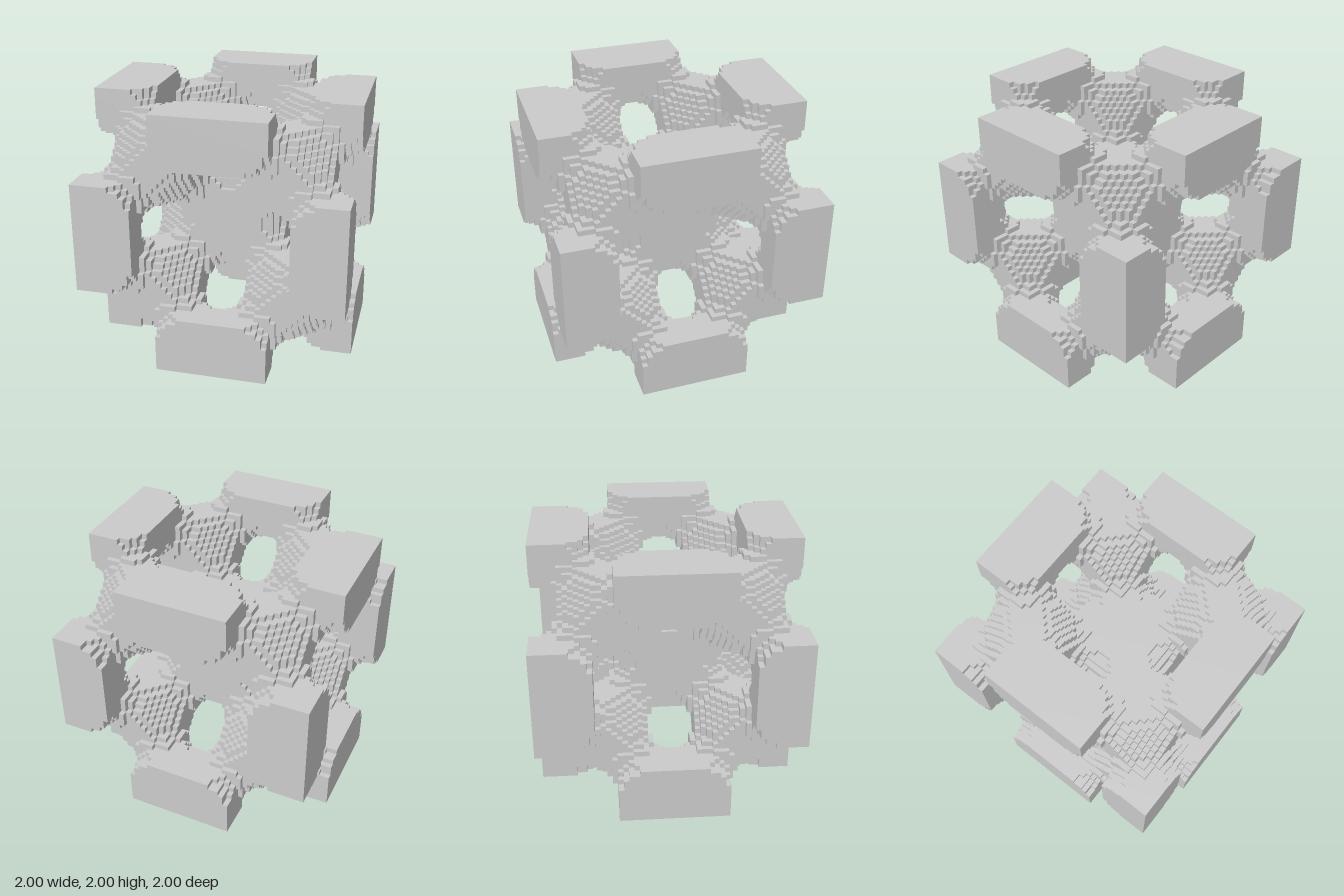
import * as THREE from 'three';

const N = 50;          // voxels per side
const SIZE = 2 / N;    // voxel edge length

// Triply periodic F-RD minimal surface, one period across the cube; solid where negative
const wave = (k) => Array.from({ length: N }, (_, i) => Math.cos((k * 2 * Math.PI * i) / N));
const c1 = wave(1);
const c2 = wave(2);

function solid([i, j, k]) {
  if (Math.min(i, j, k) < 0 || Math.max(i, j, k) >= N) return false;
  return 4 * c1[i] * c1[j] * c1[k] - (c2[i] * c2[j] + c2[j] * c2[k] + c2[k] * c2[i]) < 0;
}

// Adds one square voxel face, wound counter-clockwise seen from outside
function addFace(cell, axis, dir, positions, normals, indices) {
  const b = (axis + 1) % 3;
  const c = (axis + 2) % 3;
  const start = positions.length / 3;
  for (const [s, t] of [[0, 0], [1, 0], [1, 1], [0, 1]]) {
    const p = [...cell];
    if (dir > 0) p[axis] += 1;
    p[b] += s;
    p[c] += t;
    positions.push(p[0] * SIZE - 1, p[1] * SIZE, p[2] * SIZE - 1);
    const n = [0, 0, 0];
    n[axis] = dir;
    normals.push(...n);
  }
  const order = dir > 0 ? [0, 1, 2, 0, 2, 3] : [0, 2, 1, 0, 3, 2];
  indices.push(...order.map((o) => start + o));
}

// Skin of the voxel solid: only faces between a filled and an empty cell
function voxelSkin() {
  const positions = [], normals = [], indices = [];
  for (let i = 0; i < N; i++)
    for (let j = 0; j < N; j++)
      for (let k = 0; k < N; k++) {
        const cell = [i, j, k];
        if (!solid(cell)) continue;
        for (let axis = 0; axis < 3; axis++)
          for (const dir of [-1, 1]) {
            const next = [...cell];
            next[axis] += dir;
            if (!solid(next)) addFace(cell, axis, dir, positions, normals, indices);
          }
      }
  const geometry = new THREE.BufferGeometry();
  geometry.setAttribute('position', new THREE.Float32BufferAttribute(positions, 3));
  geometry.setAttribute('normal', new THREE.Float32BufferAttribute(normals, 3));
  geometry.setIndex(indices);
  return geometry;
}

export function createModel() {
  const group = new THREE.Group();
  group.name = 'voxelLattice';
  const material = new THREE.MeshStandardMaterial({ color: 0xcccccc, flatShading: true });
  const lattice = new THREE.Mesh(voxelSkin(), material);
  lattice.name = 'latticeBody';
  group.add(lattice);
  return group;
}
